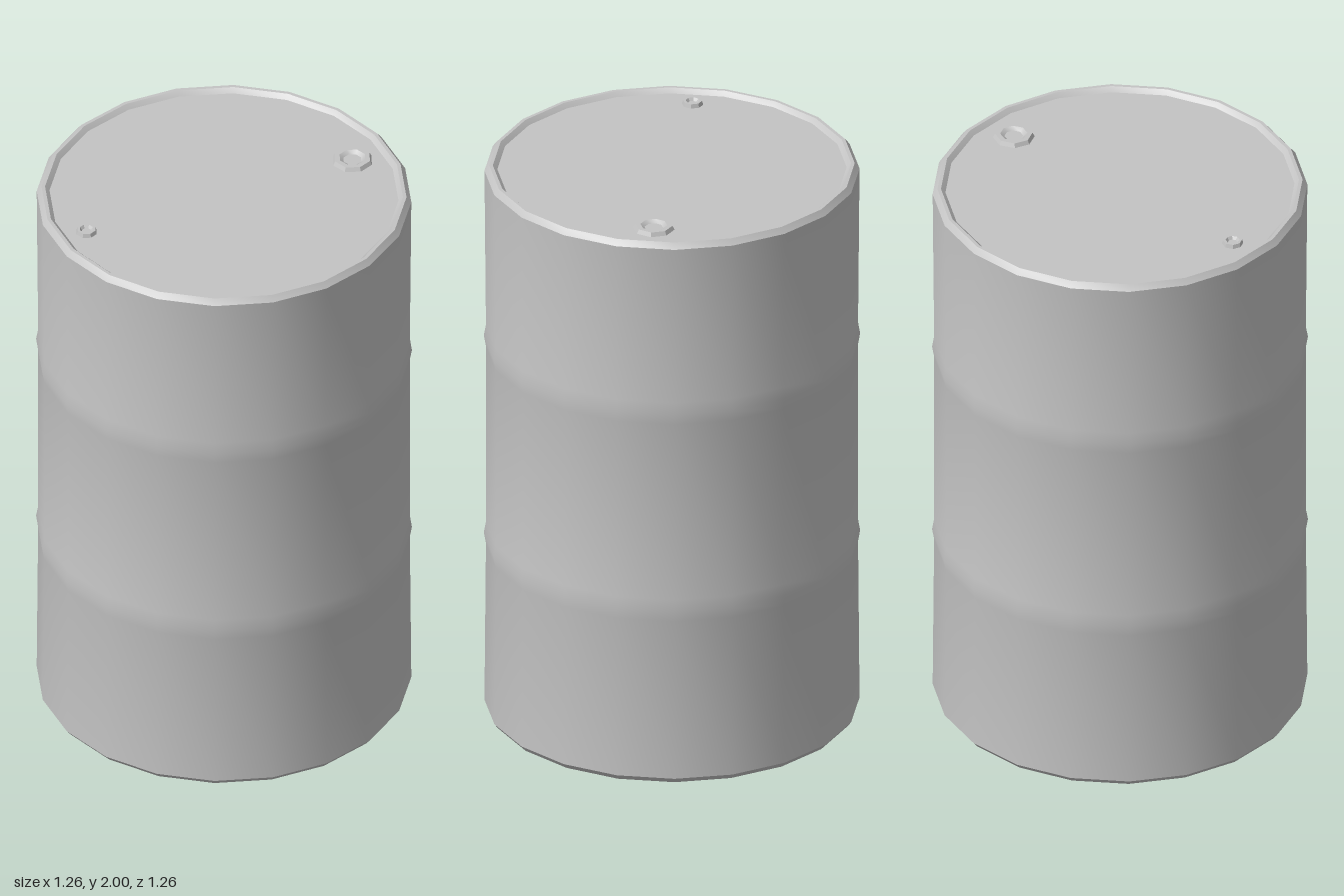
import * as THREE from 'three';
import { toCreasedNormals } from 'three/addons/utils/BufferGeometryUtils.js';

const SIDES = 20;

export function createModel() {
  const drum = new THREE.Group();
  drum.name = 'drum';
  const steel = new THREE.MeshStandardMaterial({ color: 0xc4c4c4 });
  steel.name = 'grey steel';

  function add(name, geometry, x = 0, y = 0, z = 0) {
    const mesh = new THREE.Mesh(toCreasedNormals(geometry, 0.6), steel);
    mesh.name = name;
    mesh.position.set(x, y, z);
    drum.add(mesh);
    return mesh;
  }
  const lathe = (profile, sides = SIDES) =>
    new THREE.LatheGeometry(profile.map(([r, y]) => new THREE.Vector2(r, y)), sides);

  // Side wall with two shallow rolling hoops
  const wall = [[0.612, 0], [0.628, 0.02]];
  for (const y of [0.64, 1.37]) wall.push([0.623, y - 0.04], [0.63, y], [0.623, y + 0.04]);
  wall.push([0.628, 1.98], [0.612, 2]);
  add('sideWall', lathe(wall));

  // Slightly recessed ends inside thin rims
  add('bottomEnd', lathe([[0, 0.015], [0.585, 0.015], [0.6, 0], [0.612, 0]]));
  add('topEnd', lathe([[0.612, 2], [0.6, 2], [0.585, 1.985], [0, 1.985]]));

  // Filler and vent plugs, each a small dished cap
  const plug = (name, r, x, z) =>
    add(name, lathe([[r, 0], [r * 0.9, 0.014], [r * 0.65, 0.014], [r * 0.45, 0.004], [0, 0.004]], 8), x, 1.985, z);
  plug('fillerPlug', 0.07, 0.33, -0.34);
  plug('ventPlug', 0.036, -0.355, 0.36);

  return drum;
}
